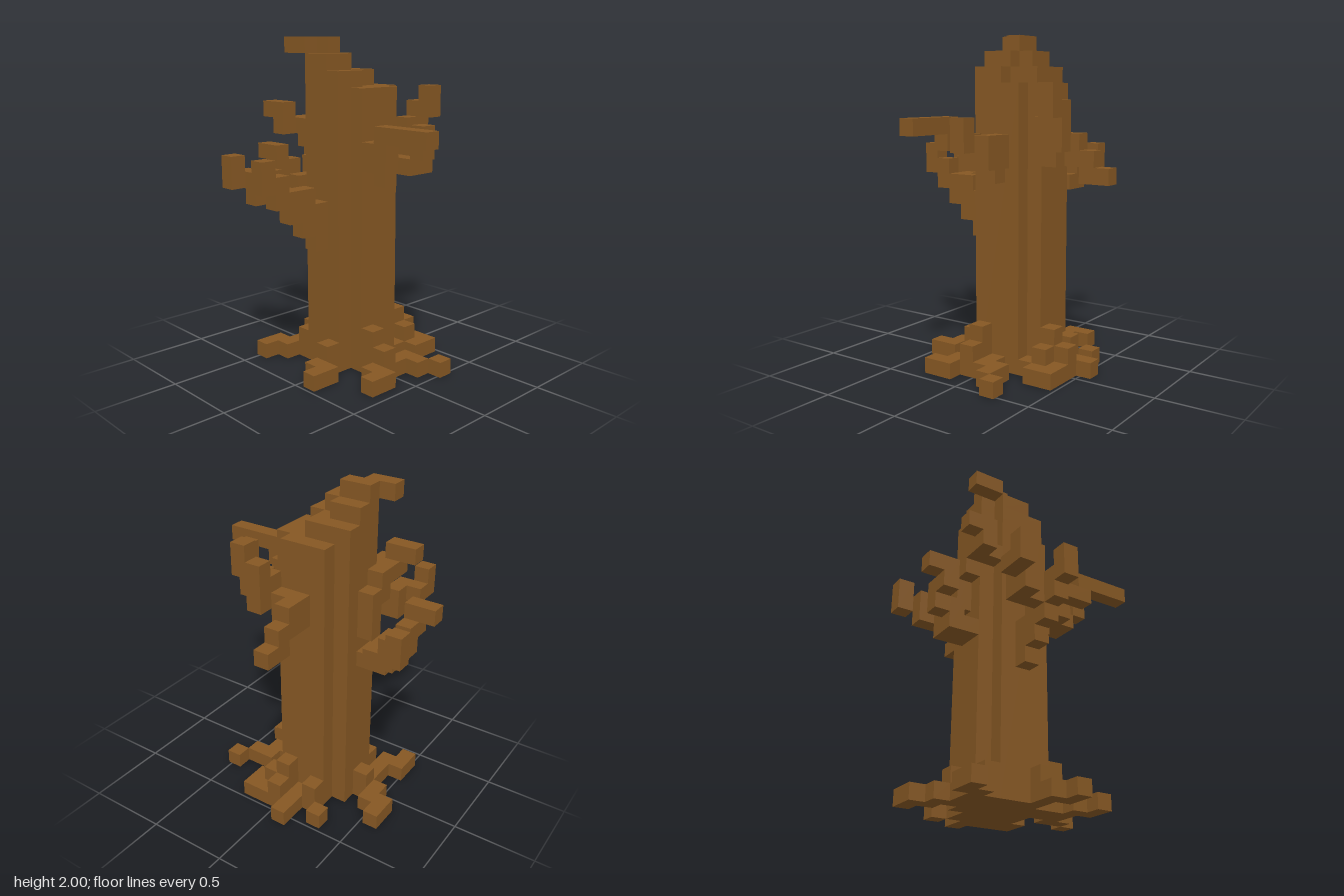
import * as THREE from 'three';

const U = 2 / 21; // size of one block

export function createModel() {
  const model = new THREE.Group();
  model.name = 'deadTree';
  const bark = new THREE.MeshStandardMaterial({ color: 0x855723 });
  bark.name = 'bark brown';

  // A run of blocks: first and last cell along x, y and z (z cells count from the back)
  function run(group, [x0, x1, y0, y1, z0, z1]) {
    const w = x1 - x0 + 1, h = y1 - y0 + 1, d = z1 - z0 + 1;
    const mesh = new THREE.Mesh(new THREE.BoxGeometry(w * U, h * U, d * U), bark);
    mesh.position.set((x0 + w / 2) * U, (y0 + h / 2) * U, (z0 + d / 2 - 7.5) * U);
    mesh.name = group.name + 'Block';
    group.add(mesh);
  }
  function part(name, runs) {
    const group = new THREE.Group();
    group.name = name;
    runs.forEach((r) => run(group, r));
    model.add(group);
  }

  // Trunk: five cells wide with the corners cut away
  part('trunk', [
    [-1, 1, 0, 17, 4, 8],
    [-2, -2, 0, 17, 5, 7],
    [2, 2, 0, 17, 5, 7],
  ]);

  // Broken top, stepping up to the back right corner
  part('brokenTop', [
    [-1, 1, 18, 18, 4, 6], [-2, -2, 18, 18, 5, 7], [-1, -1, 18, 18, 7, 7],
    [-1, 0, 19, 19, 4, 5], [-2, -2, 19, 19, 5, 6], [-1, -1, 19, 19, 6, 6],
    [-2, -2, 20, 20, 3, 4], [-1, -1, 20, 20, 4, 5],
  ]);

  // Roots
  part('frontRoots', [
    [-1, 0, 0, 0, 9, 9], [-2, 1, 0, 0, 10, 10], [-3, -2, 0, 0, 11, 11],
    [1, 1, 0, 0, 11, 11], [2, 2, 0, 0, 12, 12],
    [-1, -1, 1, 2, 9, 9], [-1, -1, 1, 1, 10, 10],
  ]);
  part('leftRoots', [
    [3, 5, 0, 0, 6, 6], [3, 4, 0, 0, 7, 7], [2, 4, 0, 0, 8, 8], [3, 4, 0, 0, 9, 9],
    [2, 3, 0, 0, 5, 5], [4, 4, 0, 0, 4, 4],
    [3, 4, 1, 1, 7, 7], [3, 3, 1, 1, 8, 8], [3, 3, 1, 1, 5, 5], [3, 3, 2, 2, 7, 7],
  ]);
  part('rightRoots', [
    [-4, -3, 0, 0, 7, 7], [-5, -4, 0, 0, 8, 8], [-3, -3, 1, 1, 7, 7],
  ]);
  part('backRoots', [
    [-2, -2, 0, 1, 4, 4], [-3, 0, 0, 0, 3, 3], [-4, -3, 0, 0, 2, 2],
    [0, 1, 0, 0, 2, 2], [1, 2, 0, 0, 1, 1], [0, 0, 1, 1, 3, 3],
  ]);

  // Branches on the front
  part('longFrontBranch', [
    [-1, -1, 13, 13, 9, 10], [-1, -1, 14, 14, 10, 10],
    [-2, -2, 14, 14, 10, 11], [-2, -2, 15, 15, 11, 14],
  ]);
  part('middleFrontBranch', [
    [0, 0, 12, 13, 9, 9], [0, 0, 13, 13, 10, 11],
    [1, 1, 13, 14, 10, 11], [0, 0, 14, 15, 12, 12],
  ]);

  // Branches on the left
  part('upperLeftBranch', [
    [3, 3, 13, 14, 7, 7], [3, 3, 14, 15, 8, 8],
    [4, 4, 14, 16, 8, 8], [4, 4, 16, 17, 9, 9],
  ]);
  part('lowerLeftBranch', [
    [3, 3, 13, 14, 6, 6], [4, 4, 13, 14, 6, 6],
    [5, 5, 12, 13, 6, 6], [6, 6, 12, 12, 6, 6],
  ]);

  // Forked branch on the right
  part('rightBranch', [
    [-3, -3, 8, 10, 6, 6], [-4, -4, 9, 11, 6, 6], [-5, -5, 10, 11, 6, 6],
    [-6, -6, 11, 12, 6, 6], [-7, -7, 12, 13, 6, 6],
  ]);
  part('rightBranchFork', [
    [-5, -5, 11, 11, 4, 5], [-5, -5, 12, 12, 4, 4], [-6, -6, 11, 12, 4, 4],
    [-6, -6, 12, 12, 3, 3], [-7, -7, 12, 13, 3, 3],
  ]);

  // Branches on the back
  part('lowerBackBranch', [
    [-1, 0, 10, 10, 3, 3], [0, 0, 10, 11, 2, 2], [1, 1, 11, 11, 2, 2],
    [1, 1, 11, 12, 1, 1], [2, 2, 12, 13, 0, 0],
  ]);
  part('lowerBackBranchFork', [
    [-1, -1, 10, 11, 2, 2], [-1, -1, 11, 12, 1, 1],
    [-2, -2, 12, 13, 1, 1], [-2, -2, 13, 13, 0, 0],
  ]);
  part('upperBackBranch', [
    [0, 0, 12, 14, 3, 3], [-1, -1, 14, 15, 3, 3], [-2, -2, 15, 15, 3, 4],
    [-3, -3, 15, 16, 3, 3], [-3, -3, 16, 16, 2, 2],
  ]);

  return model;
}
